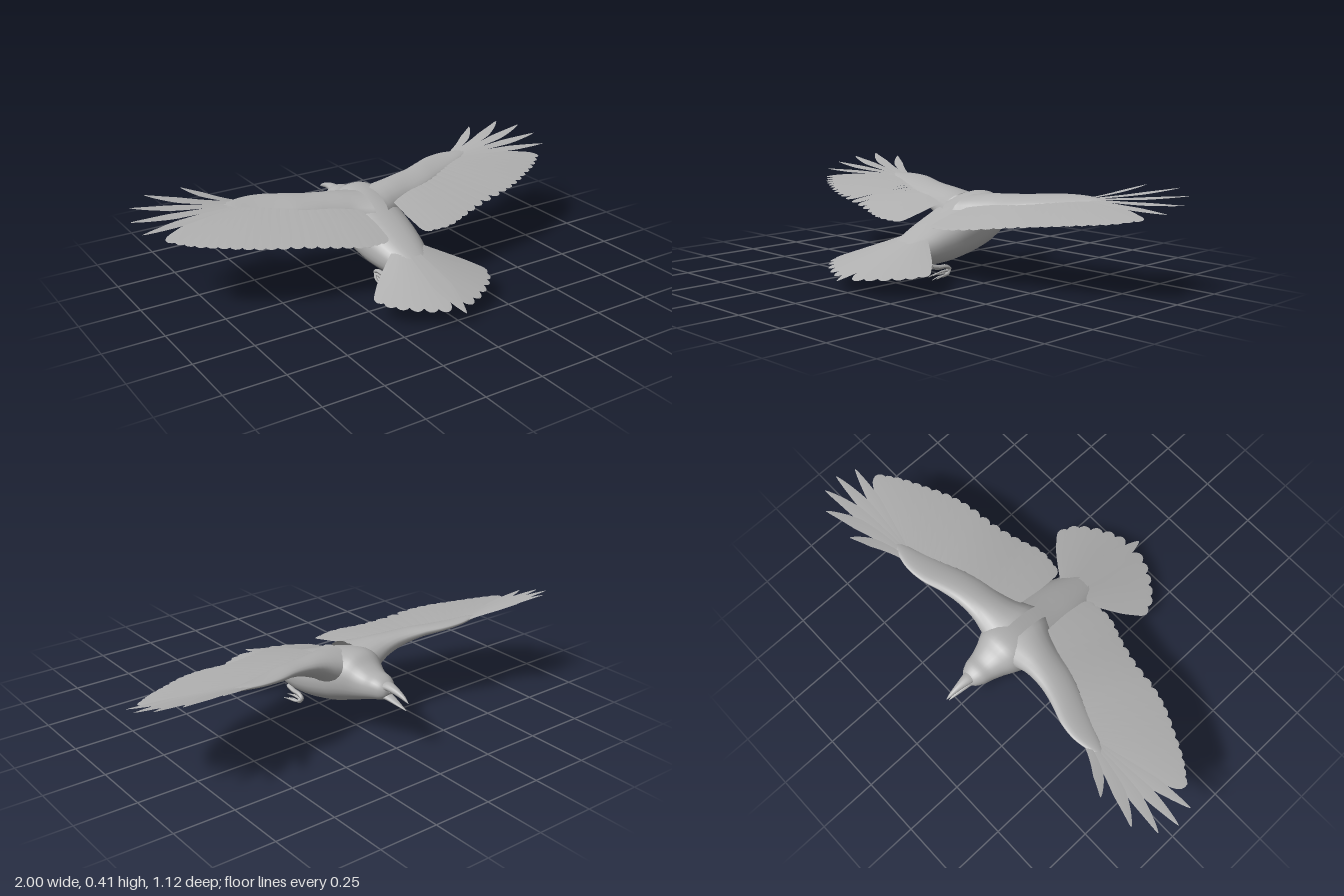
import * as THREE from 'three';

const plumage = new THREE.MeshStandardMaterial({ color: 0xb0b0b0, side: THREE.DoubleSide });
plumage.name = 'plumage grey';
const V = (x, y, z) => new THREE.Vector3(x, y, z);

function mesh(name, geometry, parent) {
  const m = new THREE.Mesh(geometry, plumage);
  m.name = name;
  parent.add(m);
  return m;
}

// Indexed grid of points; closed rings wrap around
function skin(rings, closed) {
  const n = rings[0].length, index = [];
  for (let i = 0; i < rings.length - 1; i++) {
    for (let j = 0; j < (closed ? n : n - 1); j++) {
      const a = i * n + j, b = i * n + (j + 1) % n;
      index.push(a, b, a + n, b, b + n, a + n);
    }
  }
  const g = new THREE.BufferGeometry().setFromPoints(rings.flat());
  g.setIndex(index);
  g.computeVertexNormals();
  return g;
}

// Smoothly interpolates rows of section numbers
function smoothRows(rows, steps) {
  const main = new THREE.CatmullRomCurve3(rows.map(r => V(r[0], r[1], r[2])));
  const extra = new THREE.CatmullRomCurve3(rows.map(r => V(r[3], r[4] ?? 0, 0)));
  return Array.from({ length: steps + 1 }, (_, i) => {
    const a = main.getPoint(i / steps), b = extra.getPoint(i / steps);
    return [a.x, a.y, a.z, b.x, b.y];
  });
}

// Rows are z, top, bottom, half width
function bodyLoft(rows, steps, power = 1, sides = 28) {
  return skin(smoothRows(rows, steps).map(([z, top, bottom, w]) =>
    Array.from({ length: sides }, (_, j) => {
      const a = j / sides * Math.PI * 2, c = Math.cos(a), s = Math.sin(a);
      return V(Math.sign(c) * Math.abs(c) ** power * w,
        (top + bottom) / 2 + Math.sign(s) * Math.abs(s) ** power * (top - bottom) / 2, z);
    })), true);
}

// Flat feather along a bent path with a rounded tip
function feather(base, mid, tip, width, roll = 0, pointed = false) {
  const path = new THREE.QuadraticBezierCurve3(base, mid, tip);
  const rings = [];
  for (let i = 0; i <= 14; i++) {
    const s = 1 - (1 - i / 14) ** 1.6;
    const p = path.getPoint(s), d = path.getTangent(s);
    const side = V(d.z, 0, -d.x).normalize();
    side.y = roll;
    const end = pointed ? Math.min(1, (1 - s) * 2.6) ** 0.7 : Math.sqrt(Math.max(0, 1 - Math.max(0, (s - 0.86) / 0.14) ** 2));
    const w = width / 2 * (0.5 + 0.5 * Math.min(1, s * 1.8)) * end;
    rings.push([-1, 0, 1].map(k => p.clone().addScaledVector(side, k * w).add(V(0, k ? 0 : 0.001, 0))));
  }
  return skin(rings, false);
}

// Tube whose radius shrinks along its length
function taperTube(points, r0, r1) {
  const path = new THREE.CatmullRomCurve3(points), n = 14, sides = 8;
  const g = new THREE.TubeGeometry(path, n, r0, sides);
  const pos = g.attributes.position, v = V(0, 0, 0);
  for (let i = 0; i < pos.count; i++) {
    const t = Math.floor(i / (sides + 1)) / n, c = path.getPointAt(t);
    v.fromBufferAttribute(pos, i).sub(c).multiplyScalar(1 + (r1 / r0 - 1) * t).add(c);
    pos.setXYZ(i, v.x, v.y, v.z);
  }
  g.computeVertexNormals();
  return g;
}

function makeWing() {
  const wing = new THREE.Group();
  // Arm: rows are x, leading z, trailing z, top y, bottom y
  const rows = [
    [0.03, -0.29, -0.03, 0.325, 0.17], [0.10, -0.275, -0.07, 0.332, 0.19], [0.16, -0.265, -0.095, 0.335, 0.23],
    [0.25, -0.27, -0.12, 0.337, 0.27], [0.33, -0.29, -0.15, 0.343, 0.295], [0.41, -0.317, -0.185, 0.347, 0.31],
    [0.49, -0.325, -0.22, 0.35, 0.322], [0.56, -0.313, -0.25, 0.352, 0.332], [0.61, -0.30, -0.275, 0.35, 0.34],
    [0.63, -0.291, -0.289, 0.347, 0.345]];
  const sides = 20;
  mesh('wingArm', skin(smoothRows(rows, 36).map(([x, lead, trail, top, bottom]) =>
    Array.from({ length: sides }, (_, j) => {
      const a = j / sides * Math.PI * 2, c = Math.cos(a);
      const droop = 0.12 * (trail - lead) * c * Math.min(1, x / 0.2);
      return V(x, (top + bottom) / 2 + Math.sin(a) * (top - bottom) / 2 - droop,
        (lead + trail) / 2 + c * (trail - lead) / 2);
    })), true), wing);

  // Overlapping flight feathers along the trailing edge
  const bases = new THREE.CatmullRomCurve3([V(0.10, 0.295, -0.13), V(0.2, 0.307, -0.15), V(0.32, 0.32, -0.2),
    V(0.44, 0.332, -0.24), V(0.52, 0.34, -0.265), V(0.57, 0.344, -0.28)]);
  const tips = new THREE.CatmullRomCurve3([V(0.115, 0.228, 0.155), V(0.2, 0.232, 0.163), V(0.3, 0.24, 0.13),
    V(0.42, 0.256, 0.095), V(0.55, 0.274, 0.07), V(0.65, 0.285, 0.037), V(0.75, 0.295, -0.015),
    V(0.84, 0.305, -0.067), V(0.91, 0.318, -0.125)]);
  const count = 20;
  for (let i = 0; i < count; i++) {
    const t = i / (count - 1), b = bases.getPoint(t), e = tips.getPoint(t);
    const m = b.clone().lerp(e, 0.5).add(V(0.012 * t, 0.008, -0.01 * t));
    mesh('flightFeather', feather(b, m, e, 0.068, 0.06), wing);
  }
  // Spread finger feathers: tip and forward bow of each
  [[0.985, 0.345, -0.187, 0.0], [1.0, 0.37, -0.272, 0.015], [0.968, 0.395, -0.352, 0.025],
    [0.885, 0.412, -0.412, 0.035], [0.728, 0.41, -0.417, 0.025]].forEach(([x, y, z, bow], i) => {
    const b = V(0.56 - i * 0.008, 0.345, -0.275 - i * 0.006), e = V(x, y, z);
    const m = b.clone().lerp(e, 0.55).add(V(bow * 0.6, -0.004, bow));
    mesh('fingerFeather', feather(b, m, e, i < 4 ? 0.05 : 0.04, 0.1, true), wing);
  });
  return wing;
}

function makeFoot() {
  const foot = new THREE.Group();
  mesh('leg', taperTube([V(0.07, 0.06, 0.12), V(0.074, 0.052, 0.08), V(0.074, 0.05, 0.04),
    V(0.074, 0.036, 0.018), V(0.074, 0.026, 0.03)], 0.011, 0.008), foot);
  // Toes curl backwards, each ending in a claw point
  [[0.05, 0.012], [0.072, 0.004], [0.098, 0.012], [0.078, 0.024]].forEach(([x, y]) => {
    mesh('toe', taperTube([V(0.074, 0.03, 0.022), V((x + 0.074) / 2, y + 0.009, 0.042),
      V(x, y + 0.008, 0.08), V(x, y, 0.116)], 0.0075, 0.0015), foot);
  });
  return foot;
}

export function createModel() {
  const bird = new THREE.Group();
  bird.name = 'flyingBird';

  // Body and head in one smooth loft
  mesh('body', bodyLoft([
    [0.40, 0.071, 0.067, 0.004], [0.36, 0.092, 0.063, 0.028], [0.28, 0.13, 0.058, 0.055], [0.20, 0.17, 0.055, 0.082],
    [0.10, 0.215, 0.056, 0.112], [0.0, 0.256, 0.061, 0.13], [-0.10, 0.297, 0.078, 0.136], [-0.20, 0.327, 0.104, 0.13],
    [-0.27, 0.328, 0.130, 0.108], [-0.32, 0.297, 0.150, 0.083], [-0.36, 0.281, 0.166, 0.068],
    [-0.40, 0.277, 0.180, 0.058], [-0.43, 0.264, 0.190, 0.043], [-0.447, 0.245, 0.205, 0.025],
    [-0.452, 0.226, 0.224, 0.002]], 60, 0.88), bird);

  // Open beak
  mesh('upperBeak', bodyLoft([[-0.42, 0.262, 0.222, 0.03], [-0.45, 0.264, 0.232, 0.024], [-0.50, 0.254, 0.229, 0.014],
    [-0.54, 0.237, 0.222, 0.007], [-0.56, 0.221, 0.218, 0.001]], 16, 1, 16), bird);
  mesh('lowerBeak', bodyLoft([[-0.42, 0.222, 0.188, 0.028], [-0.45, 0.216, 0.192, 0.021], [-0.50, 0.202, 0.188, 0.012],
    [-0.55, 0.186, 0.184, 0.001]], 14, 1, 16), bird);

  // Mirrored wings and feet
  for (const side of [1, -1]) {
    for (const [part, make] of [['Wing', makeWing], ['Foot', makeFoot]]) {
      const g = make();
      g.name = (side > 0 ? 'left' : 'right') + part;
      g.scale.x = side;
      bird.add(g);
    }
  }

  // Tail fan, highest in the middle
  const tail = new THREE.Group();
  tail.name = 'tail';
  bird.add(tail);
  const tips = [[0, 0.555], [0.058, 0.515], [0.11, 0.495], [0.16, 0.465], [0.205, 0.43], [0.238, 0.395], [0.258, 0.35]];
  tips.forEach(([x, z], i) => {
    for (const side of i ? [1, -1] : [1]) {
      const b = V(side * i * 0.0115, 0.178 - i * 0.001, 0.165 - i * 0.001);
      const e = V(side * x, 0.057 + i * 0.004, z);
      const m = b.clone().lerp(e, 0.5).add(V(side * i * 0.002, -0.001 * i, 0));
      mesh('tailFeather', feather(b, m, e, i ? 0.066 : 0.085, -0.05 * side * (i ? 1 : 0), i === 0), tail);
    }
  });
  return bird;
}
